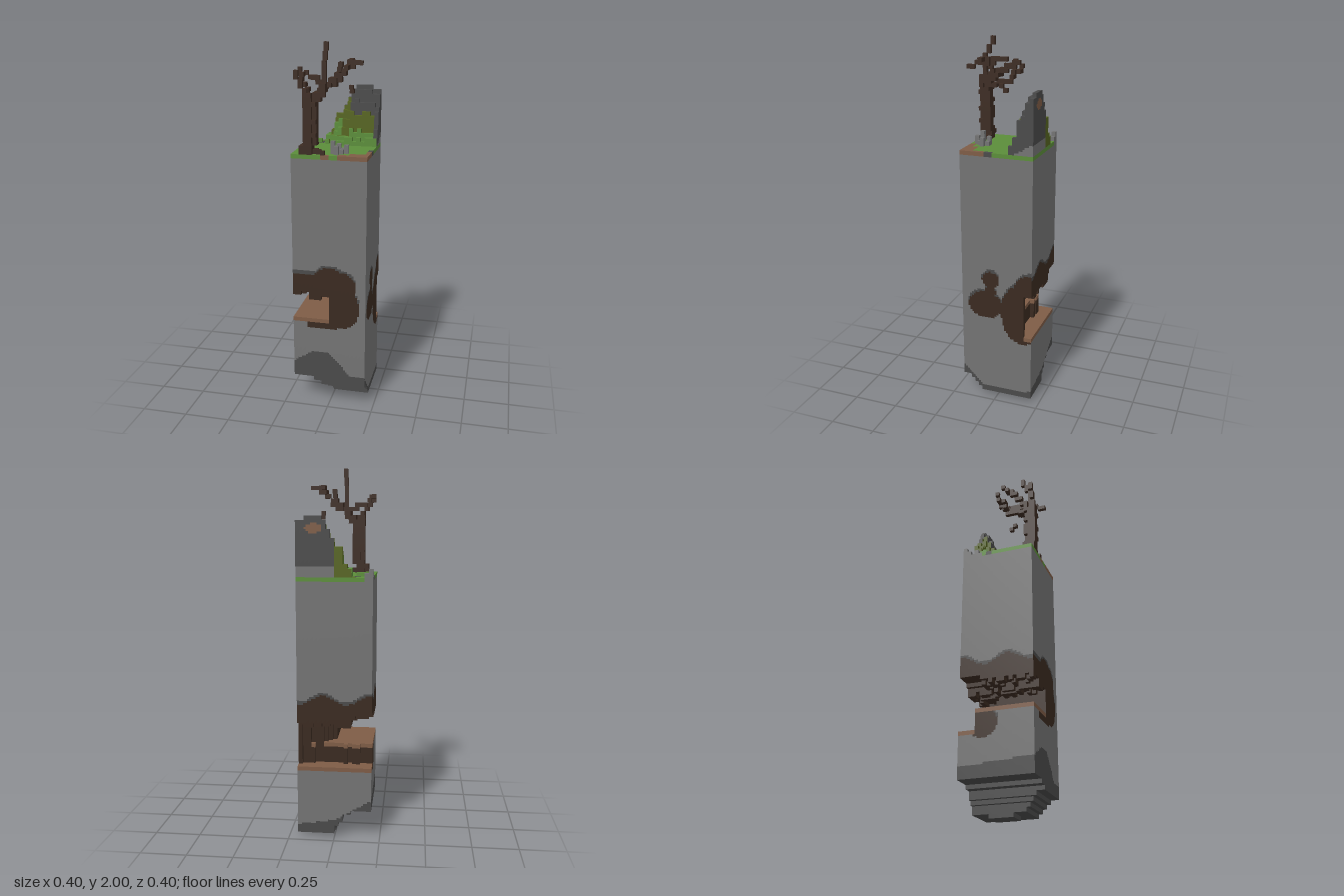
import * as THREE from 'three';

const N = 18, H = 89, V = 2 / H, HALF = N * V / 2;
const GROUND = 64; // layers up to the grass

const palette = {
  stone: 0x737373, darkStone: 0x4a4a4a, soil: 0x3a2a20,
  dirt: 0x7e5c46, grass: 0x5b8d3a, moss: 0x56641f, bark: 0x3c2b22,
};

// Piecewise linear curve through [input, output] points
function curve(pts, t) {
  if (t <= pts[0][0]) return pts[0][1];
  for (let i = 1; i < pts.length; i++) {
    const [a, p] = pts[i - 1], [b, q] = pts[i];
    if (t <= b) return p + (q - p) * (t - a) / (b - a);
  }
  return pts[pts.length - 1][1];
}
const inEllipse = (u, y, [cu, cy, ru, ry]) => ((u - cu) / ru) ** 2 + ((y - cy) / ry) ** 2 < 1;
const inAny = (u, y, list) => list.some(e => inEllipse(u, y, e));
const noise = (a, b) => { const s = Math.sin(a * 12.9 + b * 78.2) * 43758.5; return s - Math.floor(s); };

// Ragged underside of the pillar
function underside(x, z) {
  if (x > 0 && x < 0.12 && z > -0.12 && z < 0.03) return 0;
  return Math.max(
    curve([[-0.1, 0.155], [-0.06, 0.13], [-0.02, 0.08], [0, 0.03]], x),
    curve([[0.08, 0.03], [0.2, 0.13]], z));
}

// Cave running through the pillar, open to the front, left and back
function inCave(i, j, k, x, z) {
  const rim = curve([[0, -0.03], [0.06, -0.1], [0.2, -0.15]], x);
  if (x > 0 && z > rim) return false;
  const floor = z < -0.13 + 0.03 * noise(i, 3) ? 18 : 23;
  let ceiling = x < -0.12 ? 29 : 28;
  if (z < -0.1 && x < -0.08) ceiling += 2;
  else ceiling += Math.floor(noise(i, k) * 2);
  return j >= floor && j < ceiling;
}

// Rocky rise in the back corner
function hillTop(i, k, x, z) {
  const back = curve([[-0.1, 1.44], [-0.06, 1.5], [-0.04, 1.58], [0, 1.61], [0.03, 1.67], [0.06, 1.745], [0.16, 1.745], [0.2, 1.72]], x);
  const fall = curve([[-0.19, 1], [-0.17, 0.93], [-0.15, 0.8], [-0.125, 0.58], [-0.1, 0.25], [-0.06, 0]], z);
  const rough = z > -0.16 ? (noise(i, k + 7) - 0.5) * 0.04 * (fall > 0 ? 1 : 0) : 0;
  return 1.438 + (back - 1.438) * fall + rough;
}

// Soil stains on the outer walls
const frontStains = [[0, 0.72, 0.1, 0.1], [0.07, 0.59, 0.1, 0.12], [0.06, 0.71, 0.09, 0.09]];
const rightStains = [[0.065, 0.57, 0.1, 0.08], [0.035, 0.725, 0.05, 0.045], [0.035, 0.65, 0.03, 0.05],
  [-0.15, 0.54, 0.125, 0.18], [-0.2, 0.68, 0.1, 0.1]];
function stained(side, u, y) {
  if (side === 'front') {
    return (u < 0.1 && y > 0.62 && y < 0.78) || (u > -0.12 && u < 0.05 && y > 0.46 && y < 0.6) || inAny(u, y, frontStains);
  }
  if (side === 'right') return inAny(u, y, rightStains);
  const top = 0.78 + 0.025 * Math.sin(u * 25);
  if (side === 'back') return y > 0.4 && y < top;
  return (y > 0.6 && y < top) || inEllipse(u, y, [-0.07, 0.44, 0.08, 0.08]);
}
const baseLine = {
  front: [[-0.2, 0.25], [-0.1, 0.31], [0, 0.31], [0.12, 0.18], [0.2, 0.18]],
  right: [[-0.2, 0.075], [-0.17, 0.055], [0.08, 0.055], [0.2, 0.175]],
  back: [[-0.2, 0.22], [0, 0.1], [0.2, 0.07]],
  left: [[-0.2, 0.22], [0.2, 0.25]],
};

function pillarColour(p, axis, side, floorCell) {
  const [x, y, z] = p;
  if (floorCell && y > 0.33 && y < 0.55) return 'dirt';
  if (!side) return y < 0.33 ? 'darkStone' : 'soil';
  const u = axis === 0 ? z : x;
  if (y < curve(baseLine[side], u)) return 'darkStone';
  if (stained(side, u, y)) return 'soil';
  return stained(side, u, y - 0.015) ? 'darkStone' : 'stone';
}

function groundColour([x, y, z]) {
  if ((x > 0.1 && z > 0.13) || (x > 0.175 && z > 0.07) || (x > 0.05 && z > 0.17)) return 'dirt';
  if (x > 0.175 && z > 0.02) return 'darkStone';
  if (x > -0.05 && x < 0 && z > 0.185) return 'dirt';
  if (x < -0.155 && z < -0.09) return 'stone';
  if (x < -0.1 && z < -0.03 && Math.abs(x + z + 0.245) < 0.03) return 'darkStone';
  if (x > -0.12 && x < -0.03 && z < -0.13 && inEllipse(x, z, [-0.07, -0.16, 0.05, 0.025])) return 'moss';
  return 'grass';
}

function hillColour([x, y, z], side, i, k) {
  if (side === 'back' && inEllipse(x, y, [0.11, 1.69, 0.045, 0.025])) return 'dirt';
  if (side) {
    if (x < 0) return 'moss';
    return y < (side === 'right' ? curve([[-0.2, 1.5], [-0.1, 1.44]], z) : 1.5) ? 'stone' : 'darkStone';
  }
  if (x > 0.175 && z < -0.07) return 'darkStone';
  if (x > 0.05 ? z < -0.13 : x > 0 && z < -0.18) return 'darkStone';
  if (z > -0.1 || x < -0.08) return 'grass';
  return noise(i + 5, k) < 0.75 ? 'moss' : 'grass';
}

// Tree limbs as paths of cells: points, then thickness in cells
const limbs = [
  [[[-0.12, 1.45, 0.17], [-0.09, 1.6, 0.17], [-0.09, 1.73, 0.17]], 3],
  [[[-0.15, 1.45, 0.19], [-0.1, 1.46, 0.15], [-0.04, 1.45, 0.18]], 1],
  [[[-0.08, 1.72, 0.16], [-0.05, 1.77, 0.13]], 2],
  [[[-0.04, 1.75, 0.16], [-0.04, 1.87, 0.15], [-0.04, 1.94, 0.12], [-0.04, 1.99, 0.09]], 1],
  [[[-0.05, 1.77, 0.13], [0.02, 1.81, 0.07]], 2],
  [[[0.02, 1.81, 0.07], [0.05, 1.85, 0.07], [0.08, 1.88, 0.08], [0.14, 1.9, 0.1]], 1],
  [[[0.01, 1.82, 0.06], [0.01, 1.84, 0], [0.01, 1.88, -0.065]], 1],
  [[[0.08, 1.88, 0.08], [0.085, 1.91, -0.02]], 1],
  [[[0.08, 1.88, 0.08], [0.085, 1.86, 0.19]], 1],
  [[[-0.1, 1.72, 0.17], [-0.14, 1.78, 0.12], [-0.19, 1.85, 0.04]], 1],
  [[[-0.1, 1.73, 0.19], [-0.14, 1.78, 0.19], [-0.17, 1.86, 0.19]], 1],
  [[[-0.07, 1.74, 0.13], [-0.06, 1.77, 0.01], [-0.11, 1.8, 0.01], [-0.17, 1.83, -0.02]], 1],
  [[[0.085, 1.74, -0.01], [0.085, 1.77, 0.01]], 1],
];

// Loose rocks: column, row, height in cells
const rocks = [[10, 16, 2], [12, 14, 2], [9, 15, 3], [11, 15, 1], [11, 13, 1], [10, 13, 2], [0, 0, 2], [0, 1, 1], [1, 0, 1], [0, 3, 1]];

export function createModel() {
  const cells = new Map();
  const key = (i, j, k) => (j * N + k) * N + i;
  const get = (i, j, k) => i < 0 || k < 0 || j < 0 || i >= N || k >= N || j >= H ? undefined : cells.get(key(i, j, k));
  const centre = i => (i + 0.5) * V - HALF;

  // Pillar, ground layer and hill
  for (let i = 0; i < N; i++) for (let k = 0; k < N; k++) {
    const x = centre(i), z = centre(k);
    const top = Math.max(GROUND, Math.round(hillTop(i, k, x, z) / V));
    for (let j = Math.round(underside(x, z) / V); j < top; j++) {
      if (inCave(i, j, k, x, z)) continue;
      cells.set(key(i, j, k), j >= GROUND ? 'hill' : j === GROUND - 1 ? 'ground' : 'pillar');
    }
  }
  for (const [i, k, h] of rocks) for (let j = 0; j < h; j++) cells.set(key(i, GROUND + j, k), 'rocks');

  // Tree
  const clamp = (c, n) => Math.min(n - 1, Math.max(0, c));
  for (const [points, size] of limbs) for (let s = 1; s < points.length; s++) {
    const a = new THREE.Vector3(...points[s - 1]), b = new THREE.Vector3(...points[s]);
    const steps = Math.ceil(a.distanceTo(b) / V * 1.5);
    for (let t = 0; t <= steps; t++) {
      const p = a.clone().lerp(b, t / steps), o = (size - 1) / 2;
      for (let di = 0; di < size; di++) for (let dk = 0; dk < size; dk++) {
        if (size === 3 && di !== 1 && dk !== 1 && noise(t, di + dk) < 0.5) continue;
        cells.set(key(clamp(Math.floor((p.x + HALF) / V + di - o), N), clamp(Math.floor(p.y / V), H),
          clamp(Math.floor((p.z + HALF) / V + dk - o), N)), 'tree');
      }
    }
  }

  // Exposed cell faces, collected by part and colour
  const bins = {};
  function quad(part, colour, axis, sign, min, size) {
    const bin = bins[part + ' ' + colour] ??= { part, colour, pos: [], nor: [] };
    const u = (axis + 1) % 3, w = (axis + 2) % 3;
    const corner = (cu, cw) => { const c = [...min]; c[u] += cu * size; c[w] += cw * size; return c; };
    const q = [corner(0, 0), corner(1, 0), corner(1, 1), corner(0, 1)];
    if (sign < 0) q.reverse();
    const n = [0, 0, 0];
    n[axis] = sign;
    for (const c of [0, 1, 2, 0, 2, 3]) { bin.pos.push(...q[c]); bin.nor.push(...n); }
  }
  for (const [id, part] of cells) {
    const i = id % N, k = Math.floor(id / N) % N, j = Math.floor(id / N / N);
    const floorCell = !get(i, j + 1, k);
    for (let axis = 0; axis < 3; axis++) for (const sign of [1, -1]) {
      const d = [0, 0, 0];
      d[axis] = sign;
      if (get(i + d[0], j + d[1], k + d[2])) continue;
      const edge = axis === 1 ? false : (axis === 0 ? i : k) === (sign > 0 ? N - 1 : 0);
      const side = edge && (axis === 0 ? (sign > 0 ? 'right' : 'left') : (sign > 0 ? 'front' : 'back'));
      const min = [i * V - HALF, j * V, k * V - HALF];
      if (sign > 0) min[axis] += V;
      const u = (axis + 1) % 3, w = (axis + 2) % 3, subs = [];
      for (const su of [0, 1]) for (const sw of [0, 1]) {
        const m = [...min], p = [...min];
        m[u] += su * V / 2; m[w] += sw * V / 2;
        p[u] += (su + 0.5) * V / 2; p[w] += (sw + 0.5) * V / 2;
        const colour = part === 'pillar' ? pillarColour(p, axis, side, floorCell)
          : part === 'ground' ? groundColour(p)
          : part === 'hill' ? hillColour(p, side, i, k)
          : part === 'tree' ? 'bark' : 'stone';
        subs.push([colour, m]);
      }
      if (subs.every(s => s[0] === subs[0][0])) quad(part, subs[0][0], axis, sign, min, V);
      else for (const [colour, m] of subs) quad(part, colour, axis, sign, m, V / 2);
    }
  }

  const model = new THREE.Group();
  model.name = 'rockPillar';
  const materials = {};
  for (const { part, colour, pos, nor } of Object.values(bins)) {
    const geometry = new THREE.BufferGeometry();
    geometry.setAttribute('position', new THREE.Float32BufferAttribute(pos, 3));
    geometry.setAttribute('normal', new THREE.Float32BufferAttribute(nor, 3));
    if (!materials[colour]) {
      materials[colour] = new THREE.MeshStandardMaterial({ color: palette[colour] });
      materials[colour].name = colour;
    }
    const mesh = new THREE.Mesh(geometry, materials[colour]);
    mesh.name = part + colour[0].toUpperCase() + colour.slice(1);
    model.add(mesh);
  }
  return model;
}
